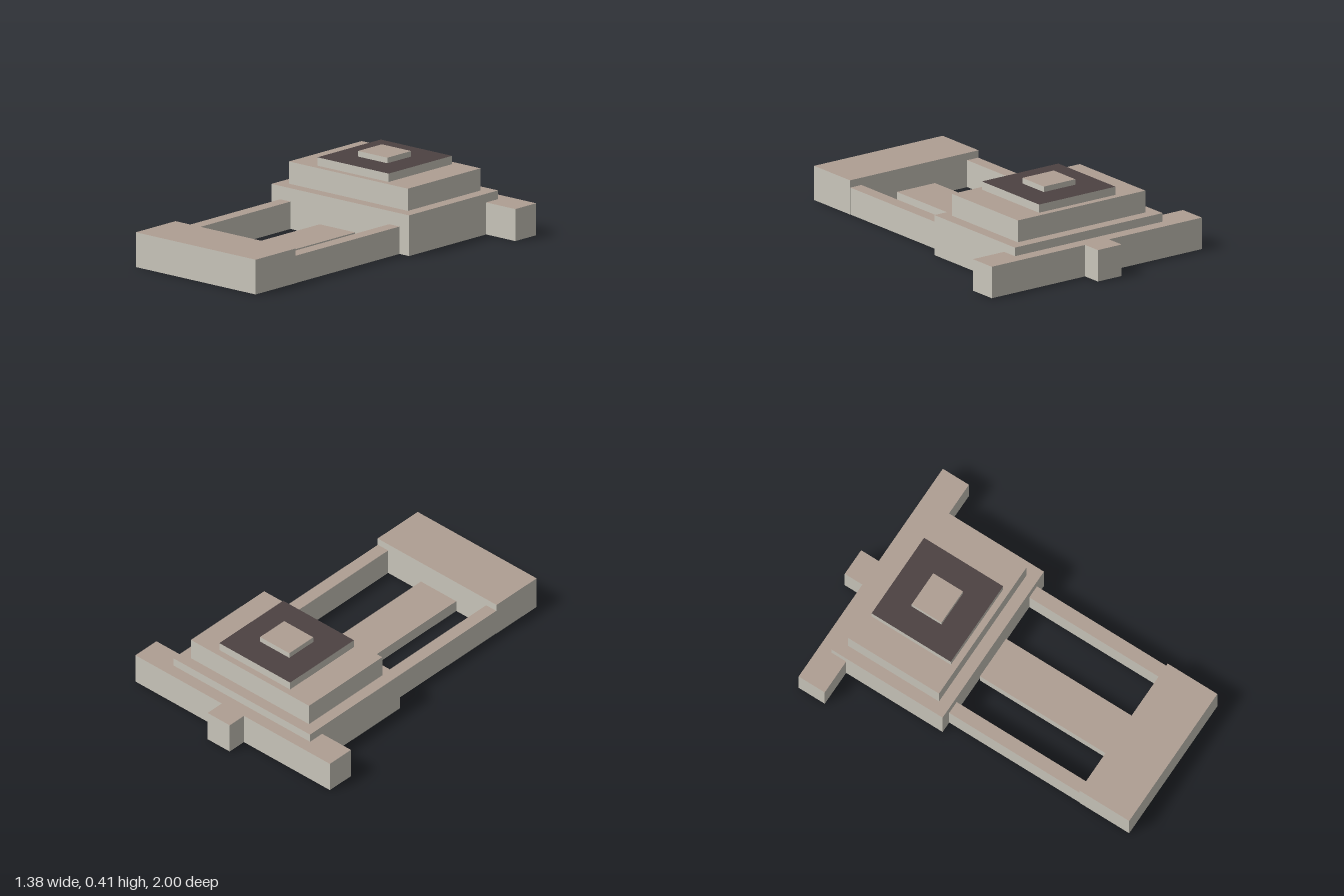
import * as THREE from 'three';

const paint = (name, color) =>
  new THREE.MeshStandardMaterial({ name, color, side: THREE.DoubleSide });

// Block with coloured walls and roof, open underneath
function block(name, [x0, x1], [y0, y1], [z0, z1], wall, roof) {
  const geometry = new THREE.BoxGeometry(x1 - x0, y1 - y0, z1 - z0);
  const index = Array.from(geometry.index.array);
  const side = (n) => index.slice(n * 6, n * 6 + 6);
  geometry.setIndex([...side(0), ...side(1), ...side(4), ...side(5), ...side(2)]);
  geometry.clearGroups();
  geometry.addGroup(0, 24, 0);
  geometry.addGroup(24, 6, 1);
  geometry.translate((x0 + x1) / 2, (y0 + y1) / 2, (z0 + z1) / 2);
  const mesh = new THREE.Mesh(geometry, [wall, roof]);
  mesh.name = name;
  return mesh;
}

export function createModel() {
  const wall = paint('paleStone', 0xcac6bb);
  const roof = paint('tanRoof', 0xaf9f93);
  const dark = paint('darkRoof', 0x4c4242);
  const model = new THREE.Group();
  model.name = 'building';
  const add = (name, x, y, z, top = roof) => model.add(block(name, x, y, z, wall, top));

  // Stepped main hall
  add('mainHall', [-0.485, 0.485], [0, 0.22], [-0.82, -0.125]);
  add('upperTier', [-0.42, 0.418], [0.22, 0.34], [-0.757, -0.19]);
  add('darkTier', [-0.252, 0.25], [0.34, 0.385], [-0.72, -0.226], dark);
  add('roofCap', [-0.105, 0.102], [0.385, 0.415], [-0.566, -0.38]);

  // Rear cross wing and its porch
  add('rearWing', [-0.69, 0.69], [0, 0.173], [-0.89, -0.727]);
  add('rearPorch', [-0.08, 0.077], [0, 0.173], [-1, -0.88]);

  // Courtyard: front block, side galleries and low central walkway
  add('frontBlock', [-0.424, 0.42], [0, 0.188], [0.69, 1]);
  add('rightGallery', [-0.422, -0.35], [0, 0.148], [-0.135, 0.7]);
  add('leftGallery', [0.345, 0.418], [0, 0.148], [-0.135, 0.7]);
  add('centralWalkway', [-0.138, 0.112], [0, 0.064], [-0.118, 0.7]);

  return model;
}
